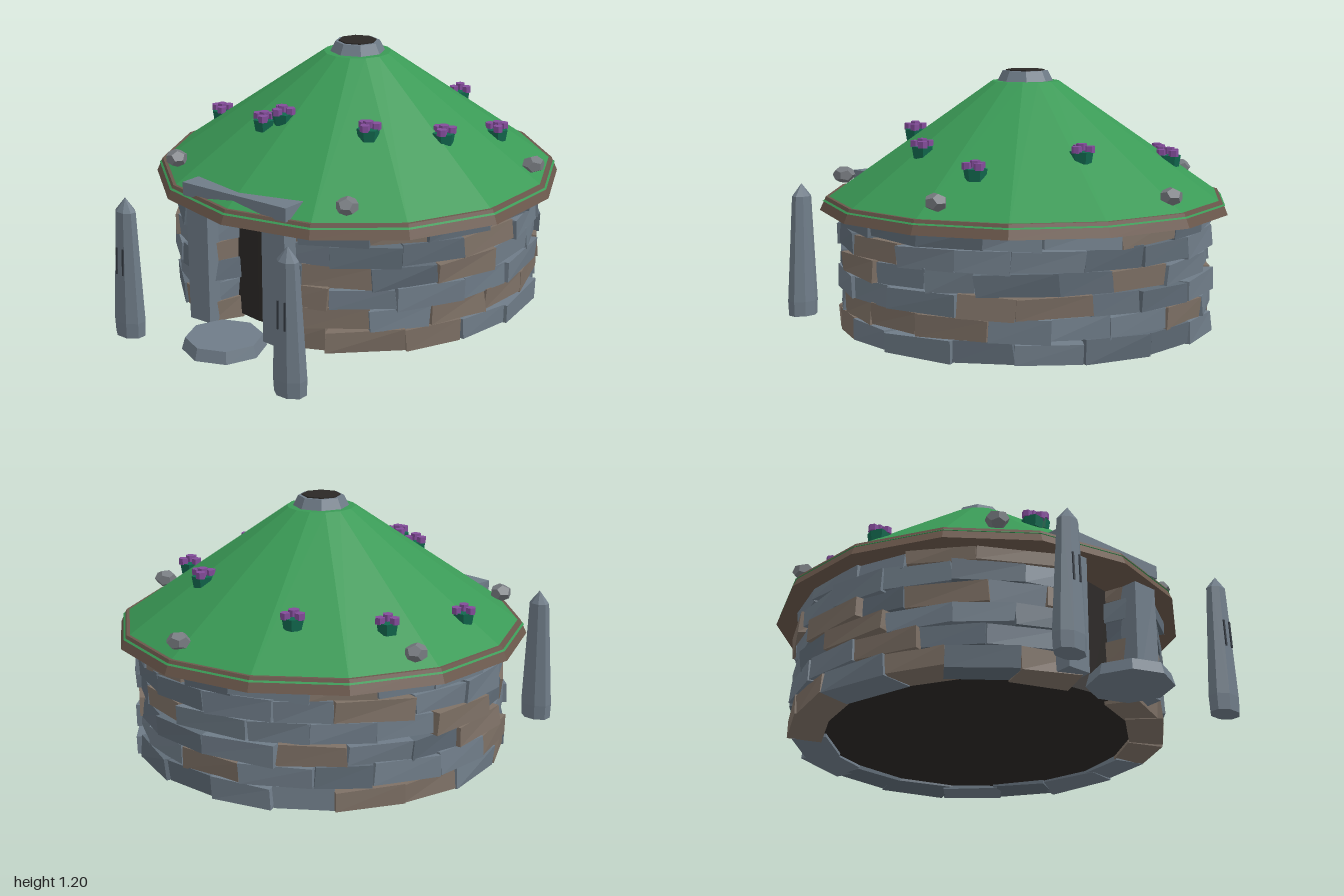
import * as THREE from 'three';

const mat = (name, color) => {
  const m = new THREE.MeshStandardMaterial({ color });
  m.name = name;
  return m;
};

// Seeded random number in -1..1
function makeRandom(seed) {
  return () => {
    seed = (seed * 16807) % 2147483647;
    return (seed / 2147483647) * 2 - 1;
  };
}

// Faceted copy of a geometry
function flat(geometry) {
  const g = geometry.index ? geometry.toNonIndexed() : geometry;
  g.computeVertexNormals();
  return g;
}

const prism = (top, bottom, height, sides) => flat(new THREE.CylinderGeometry(top, bottom, height, sides));

// Box whose eight corners are nudged for a hand-cut look
function roughBox(w, h, d, amount, rnd) {
  const g = new THREE.BoxGeometry(w, h, d);
  const p = g.attributes.position;
  const nudges = Array.from({ length: 8 }, () => [rnd() * amount, rnd() * amount, rnd() * amount]);
  for (let i = 0; i < p.count; i++) {
    const [x, y, z] = [p.getX(i), p.getY(i), p.getZ(i)];
    const n = nudges[(x > 0 ? 1 : 0) + (y > 0 ? 2 : 0) + (z > 0 ? 4 : 0)];
    p.setXYZ(i, x + n[0], y + n[1], z + n[2]);
  }
  return flat(g);
}

export function createModel() {
  const stone = mat('grey stone', 0x6f7c88);
  const darkStone = mat('dark grey stone', 0x5f6b76);
  const paleStone = mat('rock grey', 0x777b80);
  const brownStone = mat('brown stone', 0x7d7065);
  const wood = mat('eave wood', 0x6b584c);
  const turf = mat('turf green', 0x3a9a56);
  const dark = mat('dark interior', 0x2b2826);
  const leaf = mat('leaf green', 0x12694f);
  const petal = mat('purple petal', 0x834c9a);
  const carving = mat('carved groove', 0x363c44);

  const model = new THREE.Group();
  model.name = 'turfRoofedStoneHut';
  const rnd = makeRandom(4217);
  const add = (name, geometry, material, x, y, z, parent = model) => {
    const mesh = new THREE.Mesh(geometry, material);
    mesh.name = name;
    mesh.position.set(x, y, z);
    parent.add(mesh);
    return mesh;
  };

  // Round house parts share a centre behind the origin
  const house = new THREE.Group();
  house.name = 'house';
  house.position.z = -0.09;
  model.add(house);

  add('interior', prism(0.69, 0.69, 0.52, 24), dark, 0, 0.34, 0, house);

  // Six staggered courses of stones, open at the doorway
  const walls = new THREE.Group();
  walls.name = 'walls';
  house.add(walls);
  const gap = 0.2, count = 17, step = (2 * Math.PI - 2 * gap) / count;
  const tones = [stone, stone, darkStone, brownStone, stone, darkStone, brownStone];
  for (let row = 0; row < 6; row++) {
    const shift = row % 2 ? 0.5 : 0;
    const cuts = [gap];
    for (let i = 1; i < count + (shift ? 1 : 0); i++) cuts.push(gap + (i - shift + rnd() * 0.14) * step);
    cuts.push(2 * Math.PI - gap);
    for (let i = 0; i < cuts.length - 1; i++) {
      const a = (cuts[i] + cuts[i + 1]) / 2;
      const w = (cuts[i + 1] - cuts[i]) * 0.81;
      const r = 0.738 + rnd() * 0.012;
      const tone = tones[Math.floor((rnd() + 1) * 3.499)];
      const s = add('wallStone', roughBox(w, 0.091, 0.15, 0.007, rnd), tone,
        Math.sin(a) * r, 0.11 + row * 0.0935, Math.cos(a) * r, walls);
      s.rotation.set(0, a + rnd() * 0.03, rnd() * 0.035);
    }
  }

  // Roof: timber eave, turf cone and smoke hole
  add('eave', prism(0.885, 0.912, 0.06, 14), wood, 0, 0.62, 0, house);
  add('turfRoof', prism(0.15, 0.9, 0.52, 14), turf, 0, 0.89, 0, house);
  add('smokeHoleRim', prism(0.1, 0.13, 0.06, 8), stone, 0, 1.165, 0, house);
  add('smokeHole', prism(0.085, 0.085, 0.006, 8), dark, 0, 1.197, 0, house);

  // Doorway
  for (const side of [-1, 1]) {
    add('doorJamb', roughBox(0.12, 0.53, 0.16, 0.006, rnd), stone, side * 0.208, 0.335, 0.66);
  }
  add('lintel', roughBox(0.575, 0.056, 0.15, 0.004, rnd), stone, 0, 0.671, 0.67).rotation.z = 0.012;
  add('doorstep', prism(0.165, 0.18, 0.052, 8), stone, 0, 0.065, 0.82);

  // Standing stones with pointed tops and plain carved grooves
  for (const side of [-1, 1]) {
    const pillar = new THREE.Group();
    pillar.name = 'standingStone';
    pillar.position.set(side * 0.457, 0, 0.928);
    pillar.rotation.z = side * 0.008;
    model.add(pillar);
    const profile = [[0, 0.005], [0.074, 0.01], [0.078, 0.08], [0.05, 0.58], [0, 0.64]];
    const body = flat(new THREE.LatheGeometry(profile.map(([x, y]) => new THREE.Vector2(x, y)), 8, Math.PI / 8));
    body.scale(1, 1, 0.75);
    body.computeVertexNormals();
    add('pillarBody', body, stone, 0, 0, 0, pillar);
    for (const x of [-0.018, 0.018]) {
      const groove = add('groove', new THREE.BoxGeometry(0.008, 0.12, 0.008), carving, x, 0.36, 0.0445, pillar);
      groove.rotation.x = -0.04;
    }
  }

  // Rocks weighing down the turf
  const rocks = [[0.01, -0.915], [-0.79, -0.355], [0.785, -0.33], [-0.495, 0.57], [0.478, 0.588]];
  for (const [x, z] of rocks) {
    const rock = add('roofRock', new THREE.DodecahedronGeometry(0.052), paleStone, x, 0.715, z);
    rock.scale.set(1, 0.75, 0.95);
    rock.rotation.y = rnd() * 3;
  }

  // Flower clumps set on the roof slope
  const clumps = [[-0.36, -0.62], [0.21, -0.6], [0.58, -0.35], [-0.625, -0.345], [-0.7, 0.05],
    [0.54, 0.005], [0.335, 0.265], [-0.05, 0.365], [-0.125, 0.4]];
  const leafShape = prism(0.05, 0.042, 0.05, 6);
  const petalShape = prism(0.022, 0.022, 0.028, 6);
  for (const [x, z] of clumps) {
    const clump = new THREE.Group();
    clump.name = 'flowerClump';
    const r = Math.hypot(x, z + 0.09);
    clump.position.set(x, 0.63 + (0.9 - r) * 0.693, z);
    clump.rotation.y = rnd() * 3;
    model.add(clump);
    add('leaves', leafShape, leaf, 0, -0.005, 0, clump);
    for (let i = 0; i < 4; i++) {
      const a = (i * Math.PI * 2) / 3;
      const d = i < 3 ? 0.034 : 0;
      add('blossom', petalShape, petal, Math.sin(a) * d, i < 3 ? 0.03 : 0.04, Math.cos(a) * d, clump);
    }
  }
  return model;
}
